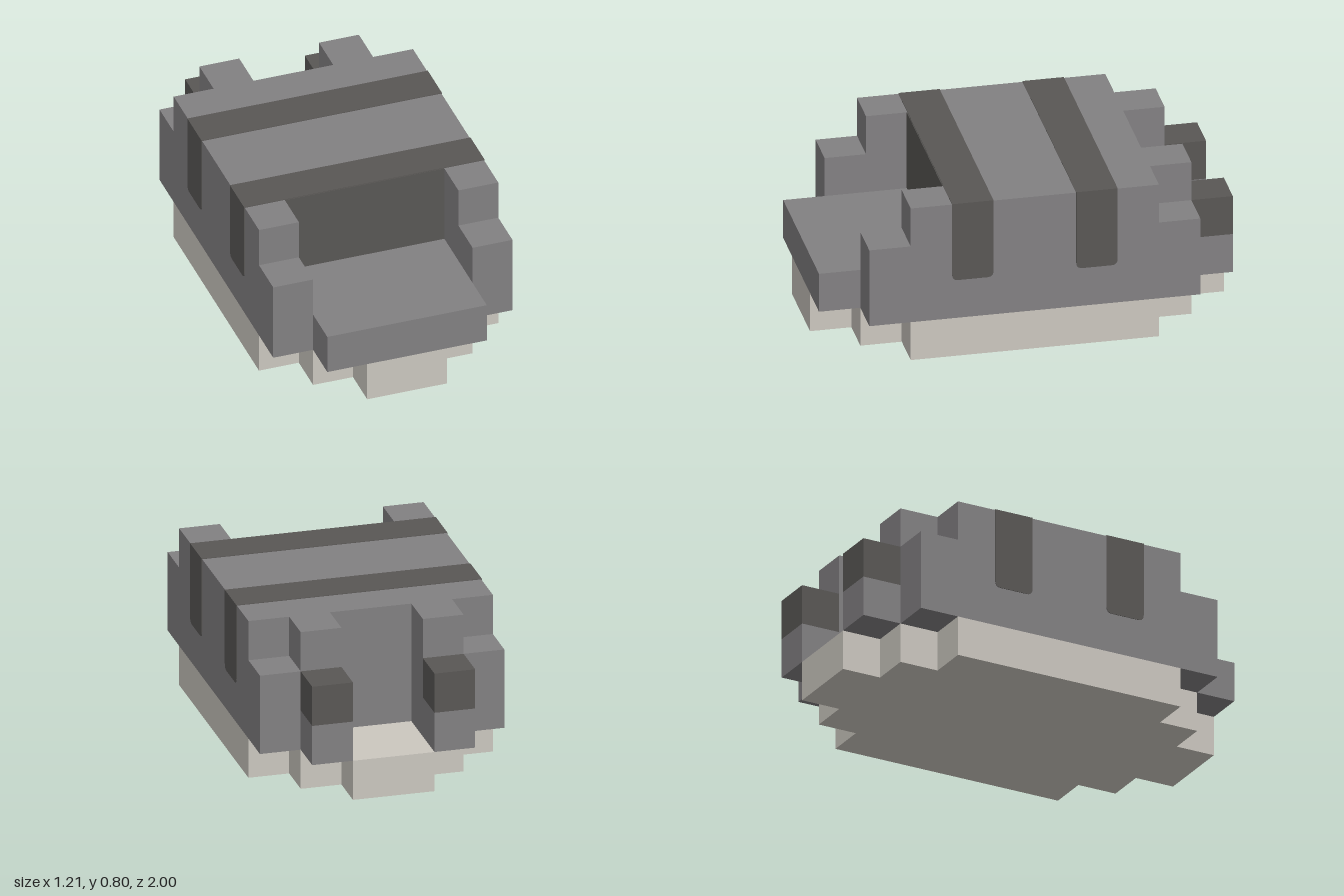
import * as THREE from 'three';

export function createModel() {
  const group = new THREE.Group();
  const make = (name, color) => {
    const m = new THREE.MeshStandardMaterial({ color });
    m.name = name;
    return m;
  };
  const gray = make('gray', 0x828082);
  const dark = make('dark gray', 0x595755);
  const cream = make('cream', 0xcbc7bf);

  const add = (name, geometry, material) => {
    const mesh = new THREE.Mesh(geometry, material);
    mesh.name = name;
    group.add(mesh);
    return mesh;
  };

  // Horizontal slab: half outline in (x, z), mirrored across x = 0
  const slab = (name, material, half, y0, y1) => {
    const mirrored = half.map(([x, z]) => [-x, z]).reverse();
    const points = [...half, ...mirrored].map(([x, z]) => new THREE.Vector2(x, z));
    const g = new THREE.ExtrudeGeometry(new THREE.Shape(points), { depth: y1 - y0, bevelEnabled: false });
    g.rotateX(Math.PI / 2).translate(0, y1, 0);
    return add(name, g, material);
  };

  const box = (name, material, [x0, x1], [y0, y1], [z0, z1]) => {
    const g = new THREE.BoxGeometry(x1 - x0, y1 - y0, z1 - z0);
    g.translate((x0 + x1) / 2, (y0 + y1) / 2, (z0 + z1) / 2);
    return add(name, g, material);
  };

  // Stepped sole
  slab('sole', cream, [
    [0.2, 1], [0.2, 0.8], [0.4, 0.8], [0.4, 0.6], [0.6, 0.6],
    [0.6, -0.6], [0.4, -0.6], [0.4, -0.8], [0.2, -0.8], [0.2, -1],
  ], 0, 0.2);

  // Body layers, with front ledge and rear notch
  slab('lowerBody', gray, [
    [0.4, 1], [0.4, 0.8], [0.6, 0.8], [0.6, -0.8],
    [0.4, -0.8], [0.4, -1], [0.2, -1], [0.2, -0.6],
  ], 0.2, 0.4);
  slab('middleBody', gray, [
    [0.4, 0.4], [0.4, 0.8], [0.6, 0.8], [0.6, -0.8], [0.2, -0.8], [0.2, -0.6],
  ], 0.4, 0.6);
  slab('upperBody', gray, [
    [0.4, 0.4], [0.4, 0.6], [0.6, 0.6], [0.6, -0.6],
    [0.4, -0.6], [0.4, -0.8], [0.2, -0.8], [0.2, -0.6],
  ], 0.6, 0.8);

  // Dark panel at the back of the front opening
  const t = 0.003;
  box('frontPanel', dark, [-0.4, 0.4], [0.4, 0.8], [0.4, 0.4 + t]);

  // Dark rear caps
  for (const [side, s] of [['left', 1], ['right', -1]]) {
    box(side + 'RearCap', dark, [s * 0.3 - 0.1, s * 0.3 + 0.1], [0.4, 0.6], [-1, -0.8]);
  }

  // Stripes over the top, with rounded lower ends on the sides
  const r = 0.03;
  const end = new THREE.Shape();
  end.moveTo(-0.1, 0.8);
  end.lineTo(-0.1, 0.4 + r);
  end.quadraticCurveTo(-0.1, 0.4, -0.1 + r, 0.4);
  end.lineTo(0.1 - r, 0.4);
  end.quadraticCurveTo(0.1, 0.4, 0.1, 0.4 + r);
  end.lineTo(0.1, 0.8);
  for (const [name, z] of [['front', 0.3], ['rear', -0.3]]) {
    box(name + 'StripeTop', dark, [-0.6 - t, 0.6 + t], [0.8, 0.8 + t], [z - 0.1, z + 0.1]);
    for (const [side, s] of [['Left', 1], ['Right', -1]]) {
      const g = new THREE.ExtrudeGeometry(end, { depth: t, bevelEnabled: false, curveSegments: 5 });
      g.rotateY(s * Math.PI / 2).translate(s * 0.6, 0, z);
      add(name + 'Stripe' + side, g, dark);
    }
  }

  return group;
}
